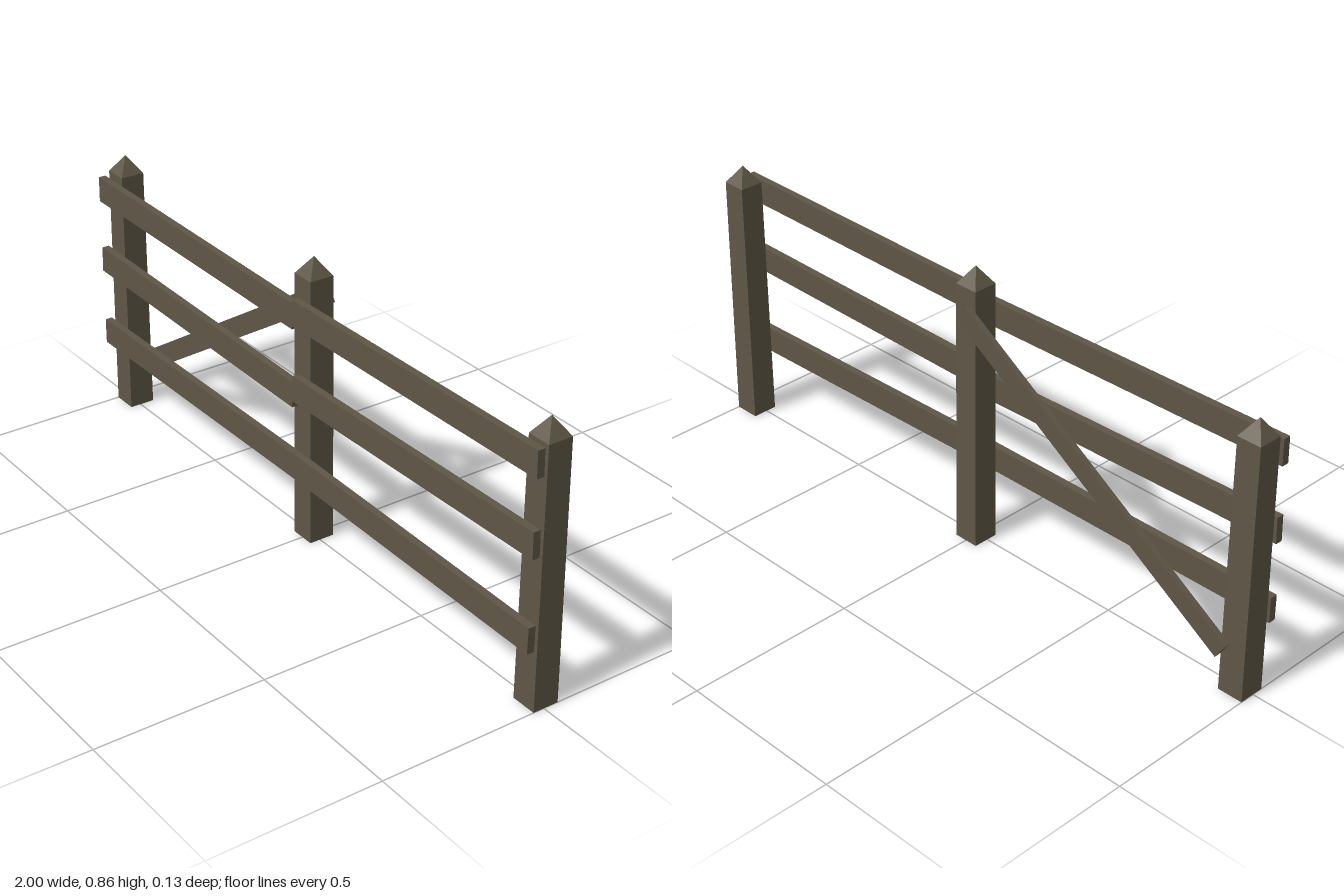
import * as THREE from 'three';

export function createModel() {
  const fence = new THREE.Group();
  fence.name = 'fence';
  const wood = new THREE.MeshStandardMaterial({ color: 0x5e5646 });
  wood.name = 'weathered wood';

  const add = (name, geometry, x, y, z, tilt = 0) => {
    const mesh = new THREE.Mesh(geometry, wood);
    mesh.name = name;
    mesh.position.set(x, y, z);
    mesh.rotation.z = tilt;
    fence.add(mesh);
  };

  // Square section turned to face the axes; radii measured across the flats
  const squareFrustum = (top, bottom, height) =>
    new THREE.CylinderGeometry(top * Math.SQRT1_2, bottom * Math.SQRT1_2, height, 4)
      .rotateY(Math.PI / 4).toNonIndexed();
  const flat = (geometry) => { geometry.computeVertexNormals(); return geometry; };

  // Slightly tapered posts with pointed caps
  const posts = [
    ['rightPost', -0.961, 0.762, 0.815],
    ['middlePost', 0, 0.802, 0.855],
    ['leftPost', 0.961, 0.762, 0.815],
  ];
  for (const [name, x, shoulder, tip] of posts) {
    add(name, flat(squareFrustum(0.073, 0.078, shoulder)), x, shoulder / 2, -0.006);
    const cap = new THREE.ConeGeometry(0.073 * Math.SQRT1_2, tip - shoulder, 4, 1, true)
      .rotateY(Math.PI / 4).toNonIndexed();
    add(name + 'Cap', flat(cap), x, (shoulder + tip) / 2, -0.006);
  }

  // Flat board whose centre line runs between two points
  const board = (name, x1, y1, x2, y2, z, width, depth) => {
    const length = Math.hypot(x2 - x1, y2 - y1);
    add(name, new THREE.BoxGeometry(length, width, depth),
      (x1 + x2) / 2, (y1 + y2) / 2, z, Math.atan2(y2 - y1, x2 - x1));
  };

  // Rails: outer and inner heights of each half
  const rails = [
    ['topRail', 0.710, 0.698, 0.708, 0.721],
    ['middleRail', 0.483, 0.462, 0.481, 0.498],
    ['bottomRail', 0.242, 0.242, 0.242, 0.226],
  ];
  for (const [name, a, b, c, d] of rails) {
    board(name + 'Right', -1, a, 0, b, 0.054, 0.077, 0.022);
    board(name + 'Left', 0, c, 1, d, 0.054, 0.077, 0.022);
  }

  // Diagonal brace on the back
  board('brace', -0.935, 0.135, 0, 0.735, -0.055, 0.059, 0.017);

  return fence;
}
